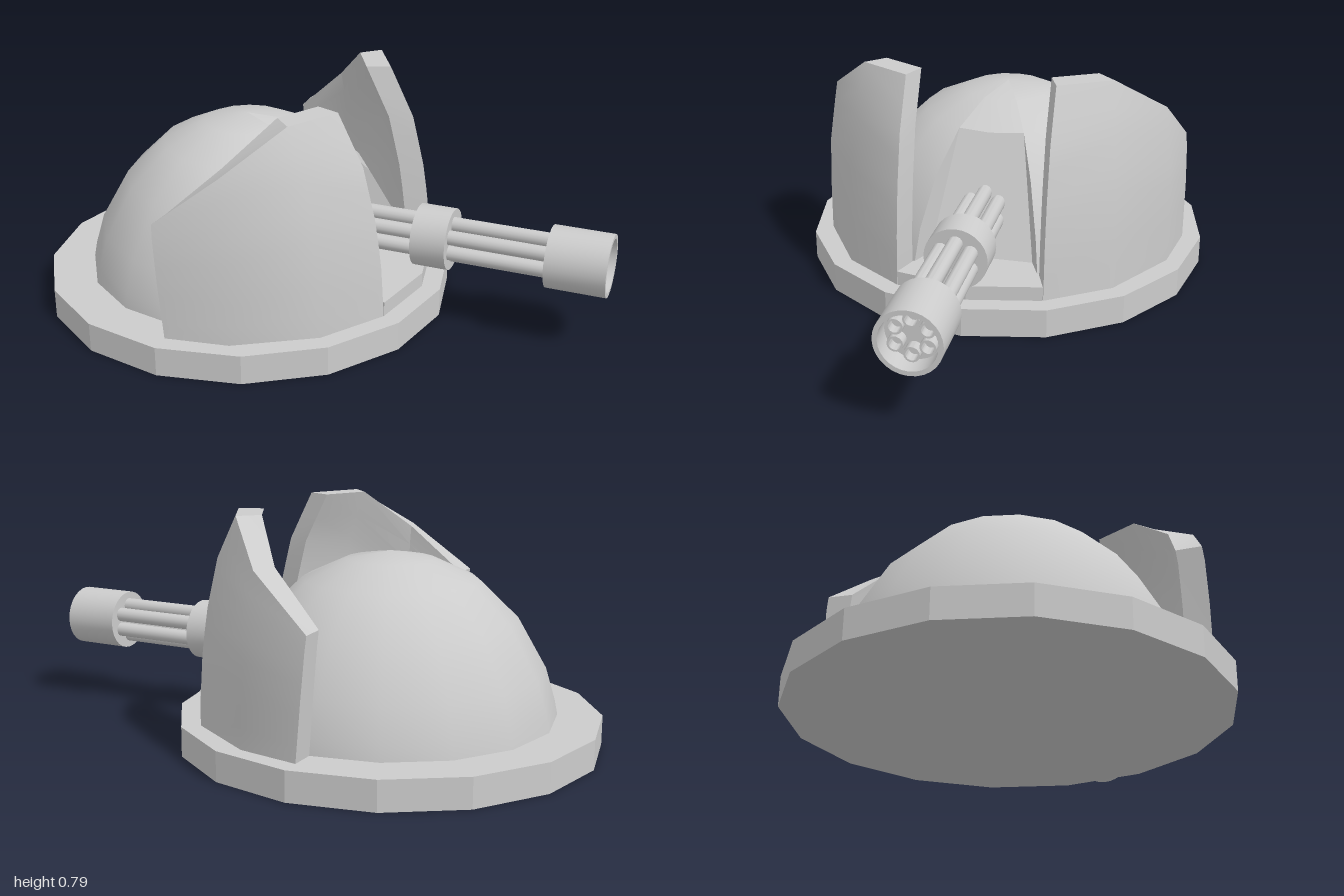
import * as THREE from 'three';
import { toCreasedNormals } from 'three/addons/utils/BufferGeometryUtils.js';

const CX = -0.285; // turret axis
const grey = new THREE.MeshStandardMaterial({ color: 0xcccccc });
const greyDouble = new THREE.MeshStandardMaterial({ color: 0xcccccc, side: THREE.DoubleSide });
const rad = THREE.MathUtils.degToRad;

function add(parent, name, geometry, material = grey) {
  const mesh = new THREE.Mesh(geometry, material);
  mesh.name = name;
  parent.add(mesh);
  return mesh;
}

function fromTriangles(points, crease) {
  const g = new THREE.BufferGeometry().setFromPoints(points);
  g.computeVertexNormals();
  return crease ? toCreasedNormals(g, crease) : g;
}

// Lathe with crisp corners
function turned(profile, segments, start = 0, length = Math.PI * 2, crease = 0.7) {
  const pts = profile.map(([r, y]) => new THREE.Vector2(r, y));
  return toCreasedNormals(new THREE.LatheGeometry(pts, segments, start, length), crease);
}

// Piecewise linear lookup
function lookup(table, y, k) {
  let i = 1;
  while (i < table.length - 1 && table[i][0] < y) i++;
  const p = table[i - 1], q = table[i];
  return p[k] + (q[k] - p[k]) * (y - p[0]) / (q[0] - p[0]);
}

// Shield shell: height, x semi-axis, z semi-axis
const SHELL = [[0.1, 0.65, 0.65], [0.3, 0.635, 0.65], [0.45, 0.61, 0.645], [0.62, 0.568, 0.622], [0.79, 0.478, 0.6]];
const THICK = 0.085;

function shieldGeometry(side) {
  const rows = 8;
  const columns = [[null, 0.79], [45, 0.79], [71, 0.655], [90, 0.49]]; // angle, top height
  const point = (angle, y, inner) => {
    const t = inner ? THICK : 0;
    const a = lookup(SHELL, y, 1) - t, b = lookup(SHELL, y, 2) - t;
    let f;
    if (angle === null) f = Math.asin((inner ? 0.22 : 0.25) / b); // straight slot edge
    else f = rad(angle === 90 ? 90 + 3 * (y - 0.1) / 0.39 : angle);
    return new THREE.Vector3(CX + a * Math.cos(f), y, side * b * Math.sin(f));
  };
  const loops = columns.map(([angle, top]) => {
    const outer = [], inner = [];
    for (let i = 0; i <= rows; i++) {
      const y = 0.1 + (top - 0.1) * i / rows;
      outer.push(point(angle, y, false));
      inner.push(point(angle, y, true));
    }
    return [...outer, ...inner.reverse()];
  });
  const tris = [];
  const quad = (a, b, c, d) => (side > 0 ? tris.push(a, b, c, a, c, d) : tris.push(a, c, b, a, d, c));
  const n = loops[0].length;
  for (let j = 0; j < loops.length - 1; j++) {
    for (let i = 0; i < n; i++) {
      const k = (i + 1) % n;
      quad(loops[j][i], loops[j][k], loops[j + 1][k], loops[j + 1][i]);
    }
  }
  const first = loops[0], last = loops[loops.length - 1];
  for (let i = 0; i < rows; i++) {
    const m = n - 1 - i;
    quad(first[i], first[m], first[m - 1], first[i + 1]);
    quad(last[i], last[i + 1], last[m - 1], last[m]);
  }
  return fromTriangles(tris, 0.5);
}

export function createModel() {
  const model = new THREE.Group();
  model.name = 'domeTurret';

  // Base plate
  add(model, 'basePlate', toCreasedNormals(new THREE.CylinderGeometry(0.715, 0.715, 0.1, 16), 0.3))
    .position.set(CX, 0.05, 0);

  // Dome with an opening towards +x
  const dome = new THREE.Group();
  dome.name = 'dome';
  model.add(dome);
  const lower = [[0.565, 0.1], [0.555, 0.15], [0.522, 0.26], [0.425, 0.43], [0.295, 0.555]];
  const upper = [[0.295, 0.555], [0.15, 0.622], [0, 0.648]];
  const e = Math.PI / 8;
  add(dome, 'domeShell', turned([...lower, ...upper.slice(1)], 14, Math.PI / 2 + e, Math.PI * 2 - 2 * e), greyDouble)
    .position.x = CX;
  add(dome, 'domeCrown', turned(upper, 2, Math.PI / 2 - e, 2 * e), greyDouble).position.x = CX;

  // Recess behind the gun: sloping back wall and two side walls
  const tris = [];
  const topZ = 0.295 * Math.sin(e), topX = CX + 0.295 * Math.cos(e);
  const corner = (s) => new THREE.Vector3(0.15, 0.15, 0.18 * s);
  const head = (s) => new THREE.Vector3(topX, 0.555, topZ * s);
  tris.push(corner(1), corner(-1), head(-1), corner(1), head(-1), head(1));
  for (const s of [1, -1]) {
    const rim = lower.slice(1).map(([r, y]) => new THREE.Vector3(CX + r * Math.cos(e), y, s * r * Math.sin(e)));
    for (let i = 0; i < rim.length - 1; i++) {
      const pair = s > 0 ? [rim[i + 1], rim[i]] : [rim[i], rim[i + 1]];
      tris.push(corner(s), ...pair);
    }
  }
  add(dome, 'gunRecess', fromTriangles(tris), greyDouble);

  // Sill under the gun opening
  const R = 0.65;
  const sill = new THREE.Shape([
    new THREE.Vector2(0.13, -0.19), new THREE.Vector2(0.235, -0.22),
    new THREE.Vector2(CX + R * Math.cos(e), -R * Math.sin(e)),
    new THREE.Vector2(CX + R, 0),
    new THREE.Vector2(CX + R * Math.cos(e), R * Math.sin(e)),
    new THREE.Vector2(0.235, 0.22), new THREE.Vector2(0.13, 0.19),
  ]);
  const sillGeo = new THREE.ExtrudeGeometry(sill, { depth: 0.05, bevelEnabled: false });
  add(model, 'sill', sillGeo.rotateX(-Math.PI / 2)).position.y = 0.1;

  // Curved shields either side of the gun
  add(model, 'leftShield', shieldGeometry(1));
  add(model, 'rightShield', shieldGeometry(-1));

  // Rotary gun, lying along +x
  const gun = new THREE.Group();
  gun.name = 'gun';
  gun.position.set(0, 0.3, 0.005);
  gun.rotation.z = -Math.PI / 2;
  model.add(gun);
  add(gun, 'collar', turned([[0, 0.35], [0.105, 0.35], [0.105, 0.47], [0, 0.47]], 28));
  add(gun, 'muzzle', turned([[0, 0.8], [0.105, 0.8], [0.105, 1], [0.09, 1], [0.09, 0.93], [0, 0.93]], 28));
  const barrel = turned([[0.025, 0], [0.025, 0.965], [0.019, 0.965], [0.019, 0.9], [0, 0.9]], 14);
  for (let i = 0; i < 6; i++) {
    const a = i * Math.PI / 3;
    add(gun, 'barrel', barrel).position.set(-0.056 * Math.cos(a), 0, 0.056 * Math.sin(a));
  }
  return model;
}
